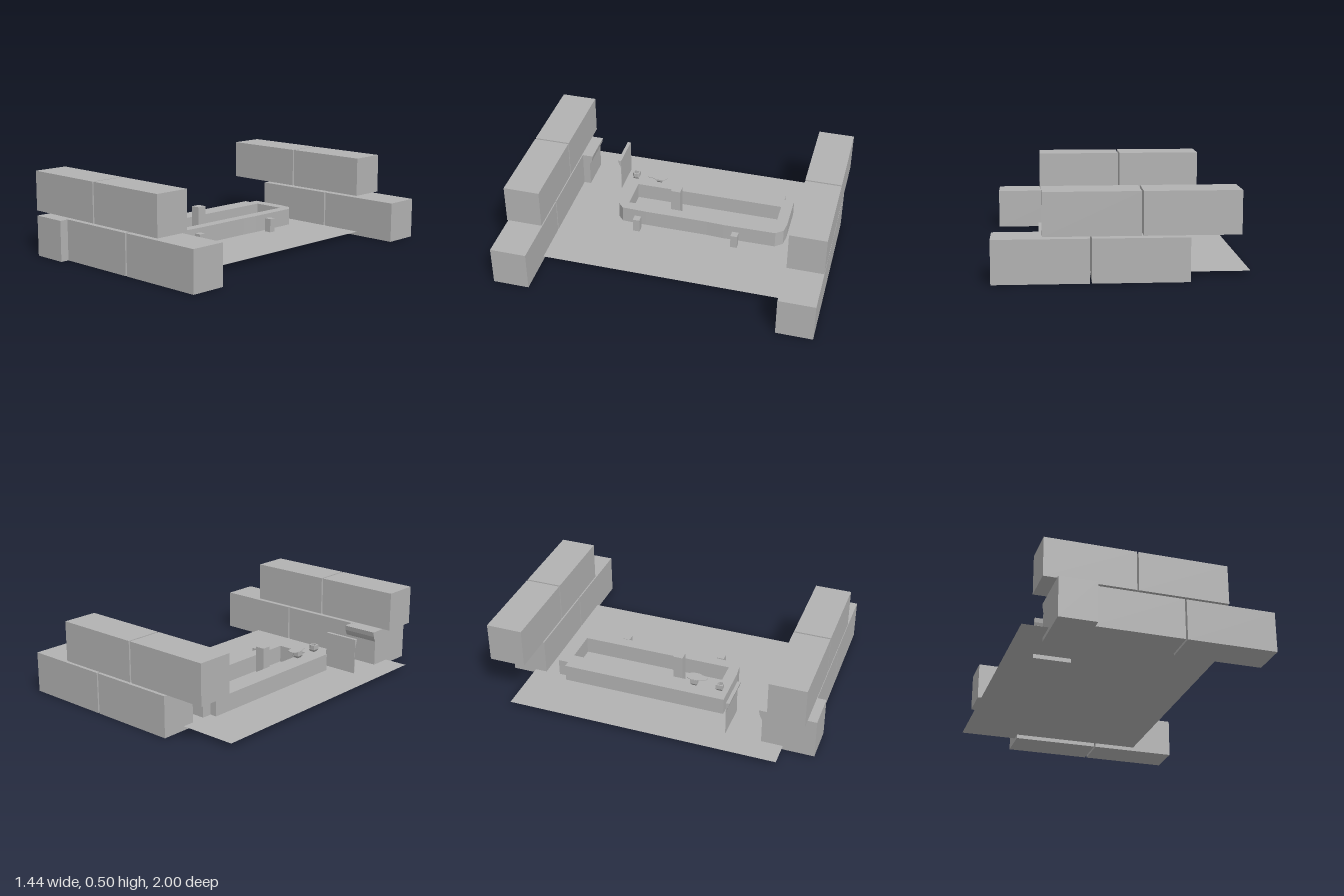
import * as THREE from 'three';

export function createModel() {
  const model = new THREE.Group();
  const grey = new THREE.MeshStandardMaterial({ color: 0xb2b2b2, side: THREE.DoubleSide });
  grey.name = 'plain grey';
  const FLOOR = 0.025;

  const add = (name, geometry) => {
    const mesh = new THREE.Mesh(geometry, grey);
    mesh.name = name;
    model.add(mesh);
    return mesh;
  };

  // Box given by its lower and upper bounds on each axis
  const box = (name, x0, x1, y0, y1, z0, z1) =>
    add(name, new THREE.BoxGeometry(x1 - x0, y1 - y0, z1 - z0))
      .position.set((x0 + x1) / 2, (y0 + y1) / 2, (z0 + z1) / 2);

  // Plan outline of [x, z] points
  const plan = (points) => points.map(([x, z]) => new THREE.Vector2(x, -z));

  // Plan outline raised from y0 to y1, with an optional opening
  const raise = (name, outline, y0, y1, hole) => {
    const shape = new THREE.Shape(plan(outline));
    if (hole) shape.holes.push(new THREE.Path(plan(hole)));
    const g = new THREE.ExtrudeGeometry(shape, { depth: y1 - y0, bevelEnabled: false });
    g.rotateX(-Math.PI / 2).translate(0, y0, 0);
    return add(name, g);
  };

  // Side profile of [z, y] points swept along x from x0 to x1
  const sweep = (name, profile, x0, x1) => {
    const shape = new THREE.Shape(profile.map(([z, y]) => new THREE.Vector2(z, y)));
    const g = new THREE.ExtrudeGeometry(shape, { depth: x1 - x0, bevelEnabled: false });
    g.rotateY(-Math.PI / 2).translate(x1, 0, 0);
    return add(name, g);
  };

  // Floor sheet
  const floor = new THREE.PlaneGeometry(1.17, 1.665);
  floor.rotateX(-Math.PI / 2).translate(-0.135, FLOOR, -0.02);
  add('floor', floor);

  // Stacked containers at the back and front
  for (const [row, z0, z1] of [['back', -1, -0.779], ['front', 0.727, 0.948]]) {
    for (const [level, start, y0, y1] of [['Lower', -0.365, 0, 0.247], ['Upper', -0.643, 0.259, 0.502]]) {
      for (let i = 0; i < 2; i++) {
        const x = start + i * 0.546;
        box(`${row}${level}Container${i + 1}`, x, x + 0.535, y0, y1, z0, z1);
      }
    }
  }

  // Counter ring with rounded corners and a step at one end
  raise('counter', [
    [-0.402, 0.398], [-0.13, 0.398], [-0.055, 0.39], [-0.018, 0.355], [-0.013, 0.2],
    [-0.013, -0.2], [-0.008, -0.305], [-0.012, -0.635], [-0.05, -0.68], [-0.12, -0.69],
    [-0.36, -0.69], [-0.36, -0.628], [-0.402, -0.628],
  ], FLOOR, 0.131, [[-0.282, 0.329], [-0.282, -0.62], [-0.08, -0.62], [-0.08, 0.329]]);

  // Attendant block and two seats
  box('attendant', -0.207, -0.148, FLOOR, 0.222, 0.011, 0.071);
  box('seat1', 0.019, 0.064, FLOOR, 0.112, 0.222, 0.265);
  box('seat2', 0.019, 0.064, FLOOR, 0.112, -0.409, -0.367);

  // D-shaped cups: open rim over a tapered base
  const dOutline = (cx, cz, r) => {
    const points = [[cx - r, cz + r], [cx + r * 0.4, cz + r], [cx + r, cz + r * 0.5],
      [cx + r, cz - r * 0.5], [cx + r * 0.4, cz - r], [cx - r, cz - r]];
    return points;
  };
  for (const z of [0.353, 0.193]) {
    const cx = -0.33;
    raise('cupRim', dOutline(cx, z, 0.022), 0.162, 0.19, dOutline(cx, z, 0.014));
    const base = new THREE.CylinderGeometry(0.031, 0.02, 0.014, 4, 1);
    base.rotateY(Math.PI / 4).translate(cx, 0.155, z);
    add('cupBase', base);
  }

  // Thin tray, rounded at one end and narrowing to the other
  const tray = [];
  for (let i = 0; i <= 10; i++) {
    const a = Math.PI * i / 10;
    tray.push([-0.316 + 0.035 * Math.cos(a), 0.178 - 0.038 * Math.sin(a)]);
  }
  tray.push([-0.35, 0.21], [-0.339, 0.235], [-0.336, 0.258], [-0.328, 0.267],
    [-0.304, 0.267], [-0.296, 0.258], [-0.293, 0.235], [-0.282, 0.21]);
  raise('tray', tray, 0.189, 0.193);

  // Booth cabinet with a flared top lip, and the matching upright panel
  sweep('boothCabinet', [[1, 0], [1, 0.246], [0.66, 0.246], [0.666, 0.215], [0.674, 0.195],
    [0.682, 0.18], [0.682, 0]], -0.569, -0.347);
  sweep('boothPanel', [[0.464, 0], [0.466, 0], [0.466, 0.185], [0.471, 0.205], [0.479, 0.22],
    [0.485, 0.246], [0.464, 0.246]].map(([z, y]) => [z, y]), -0.569, -0.347);

  return model;
}
